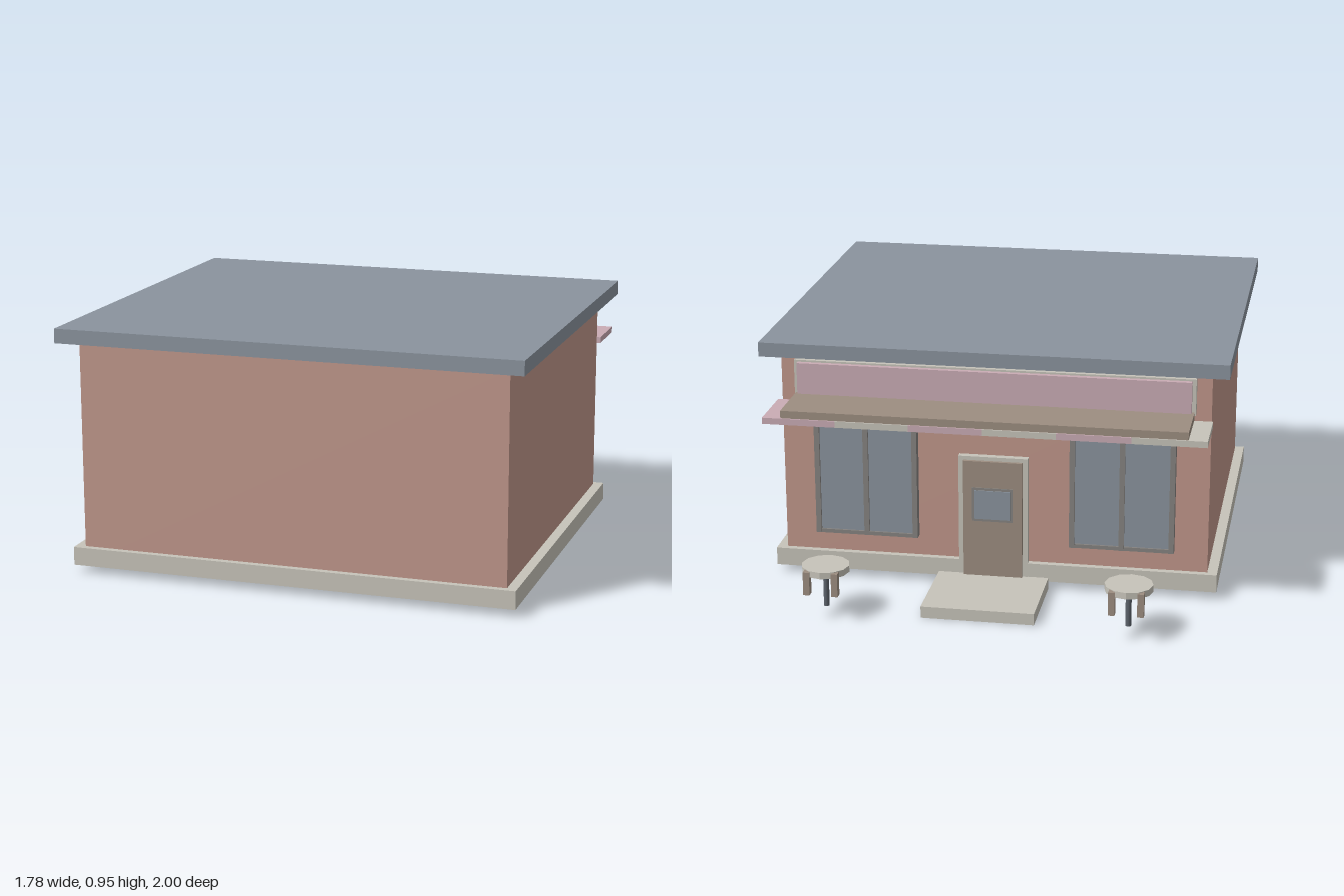
import * as THREE from 'three';

const mat = (name, color) => {
  const m = new THREE.MeshStandardMaterial({ color });
  m.name = name;
  return m;
};

export function createModel() {
  const wall = mat('brick rose', 0xbf968a);
  const stone = mat('pale stone', 0xc6c3b9);
  const slate = mat('slate', 0x8a939d);
  const wood = mat('taupe wood', 0x9c8d80);
  const pink = mat('dusty pink', 0xc9abb4);
  const frameGrey = mat('frame grey', 0x85827f);
  const dark = mat('dark metal', 0x5c636c);

  const model = new THREE.Group();
  model.name = 'smallShop';

  // Box given by its low and high limits on each axis
  const box = (name, material, [x0, x1], [y0, y1], [z0, z1], parent = model) => {
    const mesh = new THREE.Mesh(new THREE.BoxGeometry(x1 - x0, y1 - y0, z1 - z0), material);
    mesh.position.set((x0 + x1) / 2, (y0 + y1) / 2, (z0 + z1) / 2);
    mesh.name = name;
    parent.add(mesh);
    return mesh;
  };
  const group = (name) => {
    const g = new THREE.Group();
    g.name = name;
    model.add(g);
    return g;
  };

  // Building shell
  box('plinth', stone, [-0.86, 0.86], [0.03, 0.1], [-0.54, 0.955]);
  box('walls', wall, [-0.822, 0.822], [0.0285, 0.897], [-0.515, 0.93]);
  box('roof', slate, [-0.89, 0.89], [0.895, 0.95], [-0.59, 1]);
  box('entranceStep', stone, [-0.215, 0.215], [0, 0.045], [-0.89, -0.535]);

  // Door with a small window
  const door = group('door');
  box('doorFrame', stone, [-0.135, 0.135], [0.018, 0.525], [-0.542, -0.51], door);
  box('doorLeaf', wood, [-0.115, 0.115], [0.045, 0.51], [-0.555, -0.535], door);
  box('doorGlassTrim', frameGrey, [-0.08, 0.08], [0.27, 0.405], [-0.559, -0.554], door);
  box('doorGlass', slate, [-0.07, 0.07], [0.28, 0.395], [-0.563, -0.558], door);

  // Two tall shop windows, each with two panes
  for (const side of [-1, 1]) {
    const win = group(side > 0 ? 'leftWindow' : 'rightWindow');
    const cx = side * 0.495;
    box('glass', slate, [cx - 0.19, cx + 0.19], [0.19, 0.7], [-0.54, -0.51], win);
    for (const dx of [-0.19, 0, 0.19])
      box('windowUpright', frameGrey, [cx + dx - 0.01, cx + dx + 0.01], [0.18, 0.71], [-0.55, -0.51], win);
    for (const y of [0.18, 0.695])
      box('windowRail', frameGrey, [cx - 0.195, cx + 0.195], [y, y + 0.015], [-0.548, -0.51], win);
  }

  // Sign board above the awning
  box('signBacking', stone, [-0.765, 0.765], [0.735, 0.875], [-0.545, -0.51]);
  box('signBoard', pink, [-0.75, 0.75], [0.74, 0.868], [-0.565, -0.54]);

  // Awning: a board over a row of striped panels
  const awning = group('awning');
  box('awningBoard', wood, [-0.76, 0.76], [0.718, 0.747], [-0.777, -0.545], awning);
  const stripeWidth = 1.66 / 6;
  for (let i = 0; i < 6; i++) {
    const x = -0.83 + i * stripeWidth;
    box('awningStripe', i % 2 ? pink : stone, [x, x + stripeWidth], [0.693, 0.717], [-0.78, -0.55], awning);
  }

  // Round tables with a centre post and two short back posts
  for (const side of [-1, 1]) {
    const table = group(side > 0 ? 'leftTable' : 'rightTable');
    table.position.set(side * 0.568, 0, -0.91);
    const top = new THREE.Mesh(new THREE.CylinderGeometry(0.09, 0.09, 0.025, 12).toNonIndexed(), stone);
    top.geometry.computeVertexNormals();
    top.position.y = 0.188;
    top.name = 'tableTop';
    const post = new THREE.Mesh(new THREE.CylinderGeometry(0.011, 0.011, 0.145, 8), dark);
    post.position.y = 0.107;
    post.name = 'tablePost';
    table.add(top, post);
    for (const dx of [-0.053, 0.053])
      box('backPost', wood, [dx - 0.012, dx + 0.012], [0.108, 0.198], [-0.09, -0.06], table);
  }
  return model;
}
